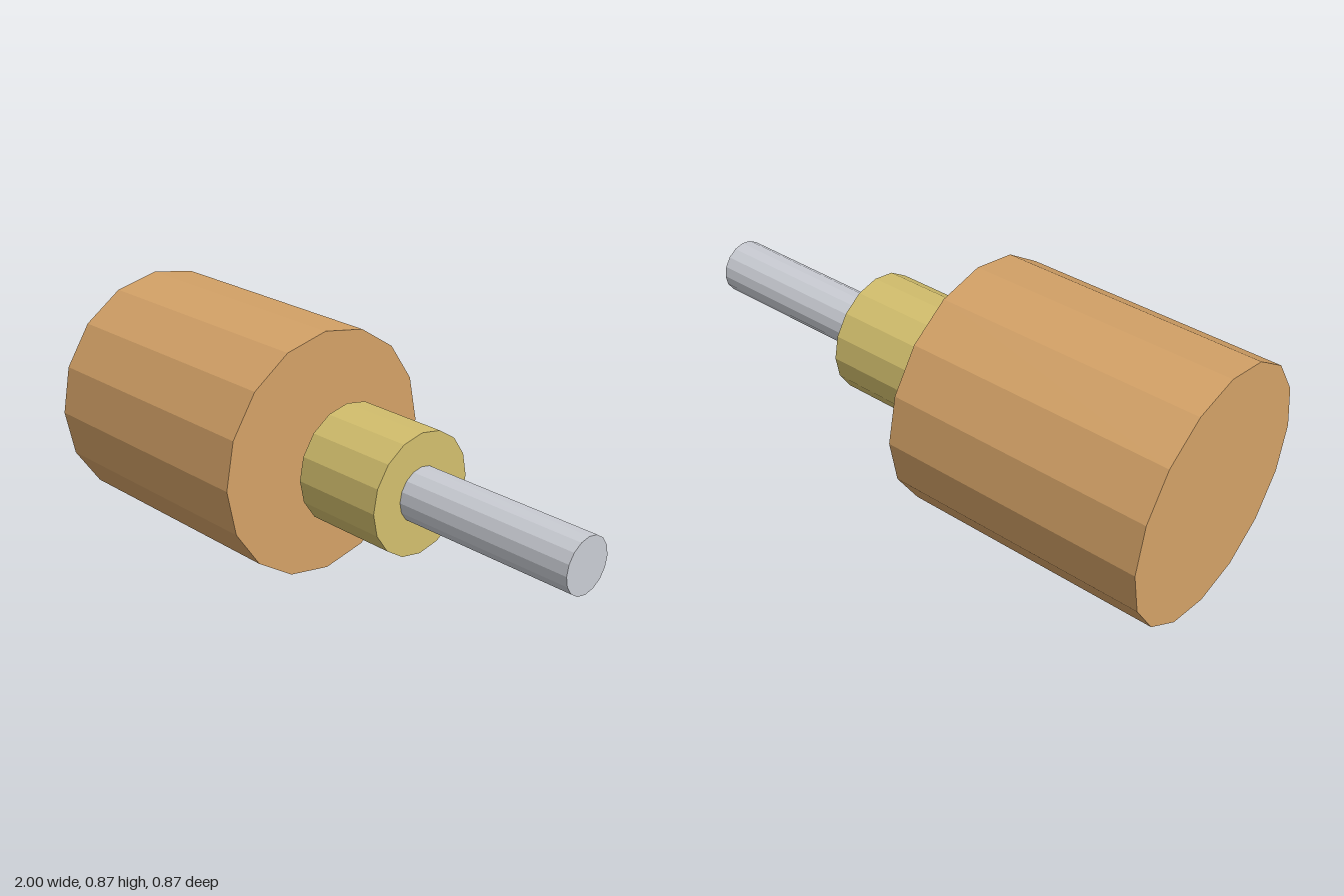
import * as THREE from 'three';

const AXIS_Y = 0.433;

function flatMaterial(name, color) {
  const m = new THREE.MeshStandardMaterial({ color, flatShading: true });
  m.name = name;
  return m;
}

// 16-sided cylinder lying along x, from x0 to x1
function rod(name, x0, x1, radius, material) {
  const geometry = new THREE.CylinderGeometry(radius, radius, x1 - x0, 16);
  geometry.rotateZ(-Math.PI / 2);
  const mesh = new THREE.Mesh(geometry, material);
  mesh.name = name;
  mesh.position.set((x0 + x1) / 2, AXIS_Y, 0);
  return mesh;
}

export function createModel() {
  const group = new THREE.Group();
  group.name = 'steppedShaft';
  group.add(
    // Large drum, separated from the collar by a gap
    rod('drum', -1, -0.09, 0.433, flatMaterial('copper', 0xd4a267)),
    // Collar and the thin shaft that leaves it
    rod('collar', 0.01, 0.346, 0.211, flatMaterial('brass', 0xd3bf6d)),
    rod('shaft', 0.346, 1, 0.095, flatMaterial('steel', 0xcacdd4))
  );
  return group;
}
